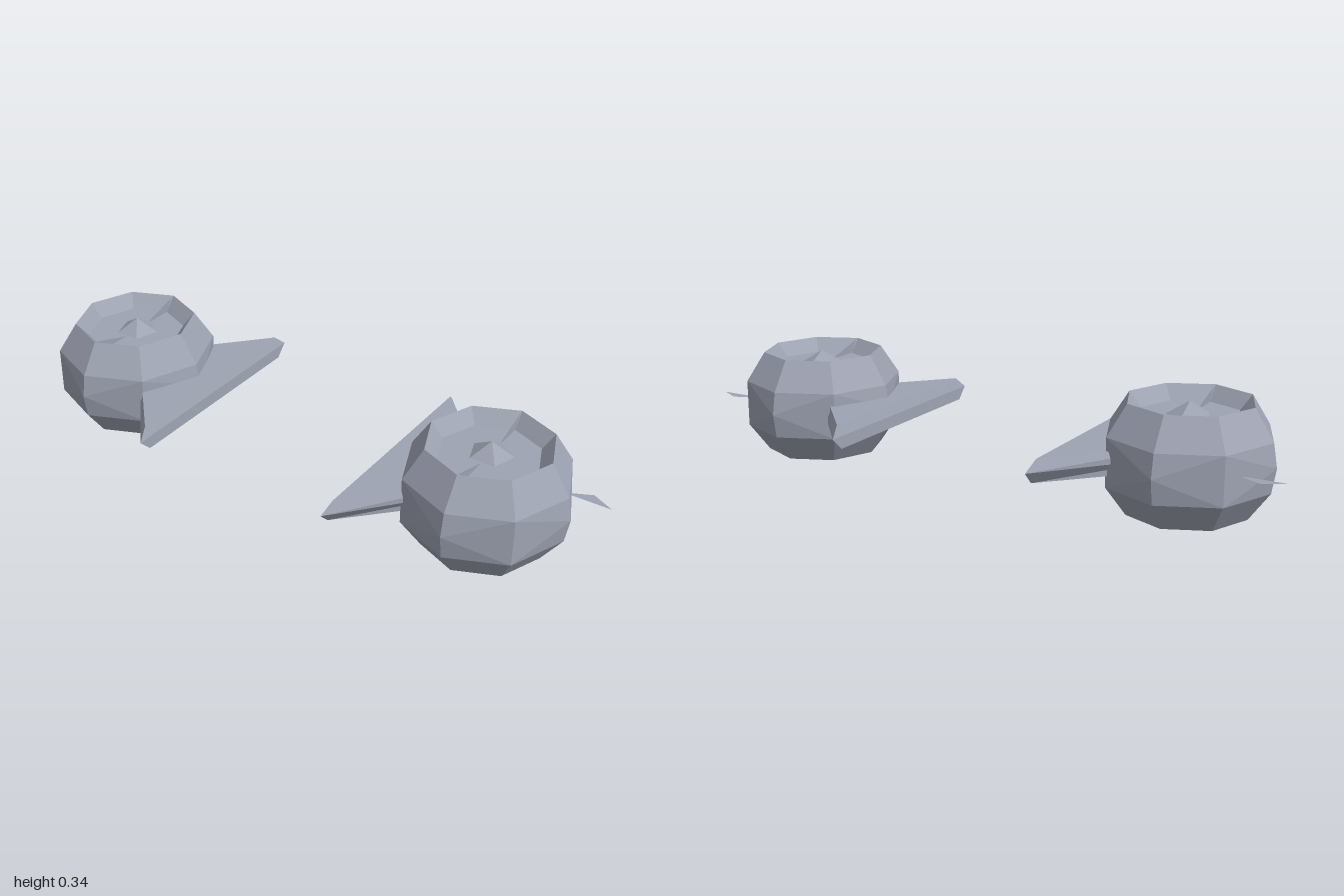
import * as THREE from 'three';

const hull = new THREE.MeshStandardMaterial({ color: 0x9ea3b2, flatShading: true, side: THREE.DoubleSide });
hull.name = 'hull grey';

const MID = 0.167, SIDES = 8;

function facets(points, faces) {
  const g = new THREE.BufferGeometry();
  g.setAttribute('position', new THREE.Float32BufferAttribute(points.flat(), 3));
  g.setIndex(faces.flat());
  const flat = g.toNonIndexed();
  flat.computeVertexNormals();
  return flat;
}

// Eight-sided pod: rings from the bottom recess, round the outside, to the top recess
function podGeometry() {
  const rings = [[0, 0.045], [0.16, 0.045], [0.195, 0], [0.262, 0.09], [0.275, MID],
    [0.262, 0.24], [0.2, 0.335], [0.16, 0.29], [0, 0.29]];
  const points = [], faces = [];
  rings.forEach(([r, y], j) => {
    for (let i = 0; i < SIDES; i++) {
      const a = i / SIDES * Math.PI * 2;
      const rr = j === 4 && i % 2 ? 0.262 : r; // only alternate corners bulge
      points.push([Math.sin(a) * rr * 0.965, y, Math.cos(a) * rr]);
    }
  });
  for (let j = 0; j < rings.length - 1; j++) {
    for (let i = 0; i < SIDES; i++) {
      const n = (i + 1) % SIDES;
      const a = j * SIDES + i, b = j * SIDES + n, c = b + SIDES, d = a + SIDES;
      // the diagonal always starts at a bulging corner of the middle ring
      if ((i % 2 === 0) === (j >= 4)) faces.push([a, b, c], [a, c, d]);
      else faces.push([a, b, d], [b, c, d]);
    }
  }
  return facets(points, faces);
}

// Triangular wing with bevelled long side; x is measured toward the model centre
function wingGeometry() {
  const points = [];
  for (const [x, z, y] of [[0.33, 0.345, 0.126], [0.328, 0.385, 0.165], [0.315, 0.345, 0.2]]) {
    points.push([x, y, z], [x, y, -z], [0, y, 0]);
  }
  const faces = [[0, 2, 1], [6, 7, 8]];
  for (const j of [0, 3]) {
    for (let i = 0; i < 3; i++) {
      const a = j + i, b = j + (i + 1) % 3;
      faces.push([a, b, b + 3], [a, b + 3, a + 3]);
    }
  }
  return facets(points, faces);
}

function add(parent, name, geometry) {
  const mesh = new THREE.Mesh(geometry, hull);
  mesh.name = name;
  parent.add(mesh);
  return mesh;
}

export function createModel() {
  const model = new THREE.Group();
  model.name = 'twinPods';
  for (const s of [-1, 1]) {
    const pod = new THREE.Group();
    pod.name = s > 0 ? 'leftPod' : 'rightPod';
    pod.position.x = s * 0.66;
    model.add(pod);

    add(pod, 'body', podGeometry()).position.z = 0.008;

    const wing = add(pod, 'wing', wingGeometry());
    if (s > 0) wing.rotation.y = Math.PI;

    // Thin flat fin on the outer side
    add(pod, 'sideFin', facets(
      [[s * 0.34, MID, -0.107], [s * 0.27, MID, -0.145], [s * 0.19, MID, -0.107]],
      [s > 0 ? [0, 1, 2] : [0, 2, 1]]));

    for (const end of [-1, 1]) {
      const recess = end > 0 ? 0.29 : 0.045;
      // Five-sided spike in the recess
      const spike = add(pod, end > 0 ? 'topSpike' : 'bottomSpike',
        new THREE.ConeGeometry(0.068, 0.042, 5));
      spike.position.y = recess + end * 0.021;
      spike.rotation.set(end > 0 ? 0 : Math.PI, end > 0 ? Math.PI : 0, 0);
      // Upright webs from the spike to the rim
      for (const f of [-1, 1]) {
        add(pod, 'recessWeb', facets(
          [[0, recess, 0.008 + f * 0.05], [0, recess, 0.008 + f * 0.16],
            [0, recess + end * 0.043, 0.008 + f * 0.19]],
          [[0, 1, 2]]));
      }
    }
  }
  return model;
}
